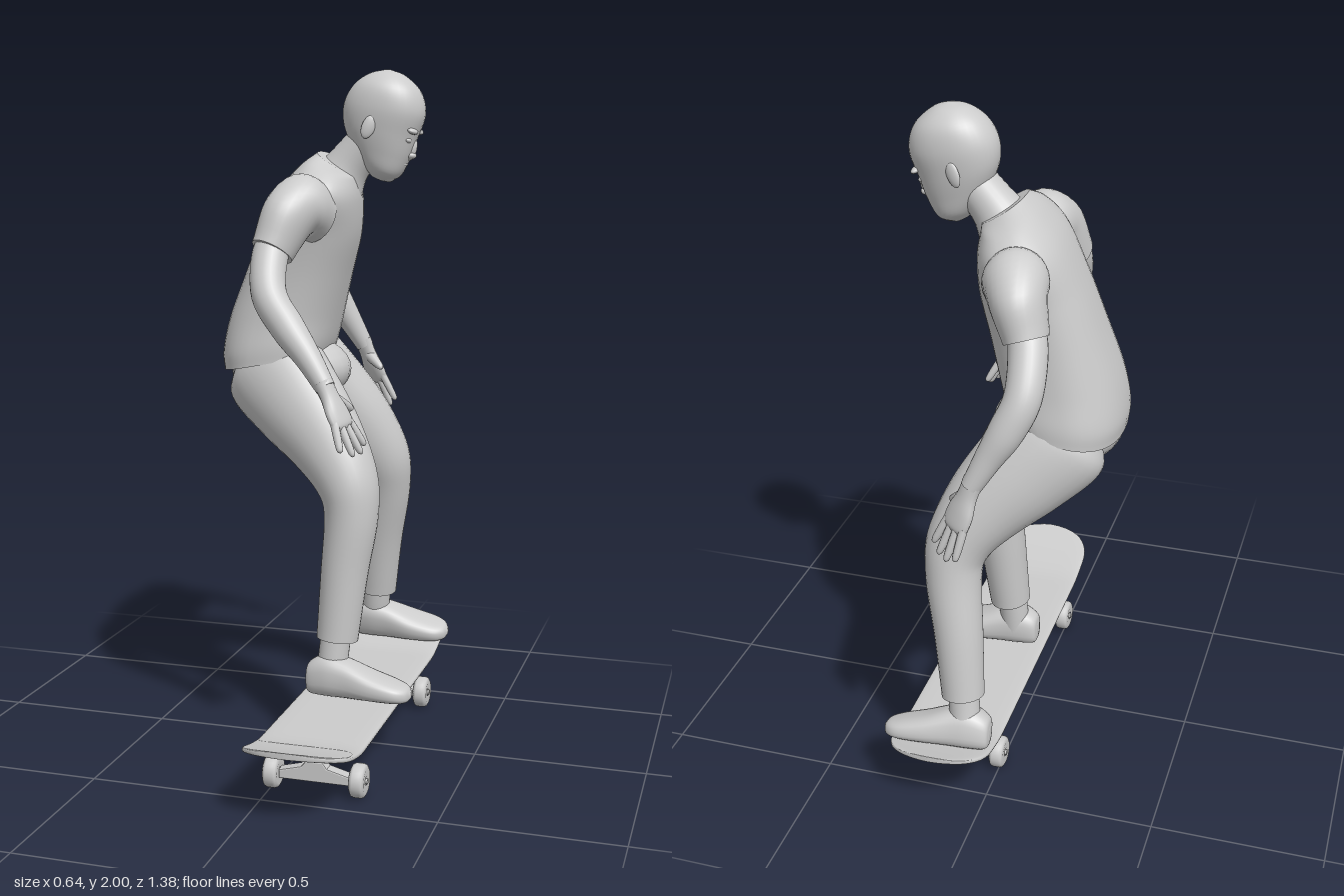
import * as THREE from 'three';

const grey = new THREE.MeshStandardMaterial({ color: 0xcccccc });
const V = (x, y, z) => new THREE.Vector3(x, y, z);

function mesh(name, geometry, x = 0, y = 0, z = 0) {
  const m = new THREE.Mesh(geometry, grey);
  m.name = name;
  m.position.set(x, y, z);
  return m;
}

// Smooth skin over sections [centre, half axis u, half axis v]; p shapes the superellipse
function loft(name, secs, { n = 28, m = 6, p = 2 } = {}) {
  const curves = [0, 1, 2].map(k => new THREE.CatmullRomCurve3(secs.map(s => s[k]), false, 'catmullrom', 0.5));
  const rows = (secs.length - 1) * m;
  const pos = [], idx = [];
  const pw = a => Math.sign(a) * Math.pow(Math.abs(a), 2 / p);
  for (let i = 0; i <= rows; i++) {
    const [c, u, v] = curves.map(k => k.getPoint(i / rows));
    for (let j = 0; j < n; j++) {
      const a = (j / n) * Math.PI * 2;
      const q = c.clone().addScaledVector(u, pw(Math.cos(a))).addScaledVector(v, pw(Math.sin(a)));
      pos.push(q.x, q.y, q.z);
    }
  }
  for (let i = 0; i < rows; i++) for (let j = 0; j < n; j++) {
    const a = i * n + j, b = i * n + (j + 1) % n;
    idx.push(a, b, b + n, a, b + n, a + n);
  }
  // end caps with their own vertices so the rims stay sharp
  [[0, secs[0][0]], [rows, secs[secs.length - 1][0]]].forEach(([row, c]) => {
    const base = pos.length / 3;
    pos.push(...pos.slice(row * n * 3, (row + 1) * n * 3), c.x, c.y, c.z);
    for (let j = 0; j < n; j++) {
      const a = base + j, b = base + (j + 1) % n;
      if (row) idx.push(a, b, base + n); else idx.push(b, a, base + n);
    }
  });
  const g = new THREE.BufferGeometry();
  g.setAttribute('position', new THREE.Float32BufferAttribute(pos, 3));
  g.setIndex(idx);
  g.computeVertexNormals();
  return mesh(name, g);
}

// Limb along [x, y, z, radius along side, radius across]
function limb(name, pts, side = V(0, 0, 1), opt) {
  const c = pts.map(p => V(p[0], p[1], p[2]));
  const secs = pts.map((p, i) => {
    const t = c[Math.min(i + 1, c.length - 1)].clone().sub(c[Math.max(i - 1, 0)]).normalize();
    const u = side.clone().addScaledVector(t, -side.dot(t)).normalize();
    const v = t.clone().cross(u);
    return [c[i], u.multiplyScalar(p[3]), v.multiplyScalar(p[4] ?? p[3])];
  });
  return loft(name, secs, opt);
}

// Body sections [back x, back y, front x, front y, half width, twist]
function trunk(name, rows, z, opt) {
  return loft(name, rows.map(([bx, by, fx, fy, w, tw = 0]) => [
    V((bx + fx) / 2, (by + fy) / 2, z), V(tw, 0, w), V((fx - bx) / 2, (fy - by) / 2, 0)]), opt);
}

function ball(name, x, y, z, sx, sy, sz, rz = 0) {
  const m = mesh(name, new THREE.SphereGeometry(1, 24, 16), x, y, z);
  m.scale.set(sx, sy, sz);
  m.rotation.z = rz;
  return m;
}

function makeHead() {
  const g = new THREE.Group();
  g.name = 'head';
  const z = -0.175;
  g.add(trunk('skull', [
    [0.125, 1.695, 0.165, 1.677, 0.025], [0.10, 1.73, 0.21, 1.69, 0.056], [0.065, 1.785, 0.24, 1.74, 0.073],
    [0.042, 1.85, 0.262, 1.80, 0.087], [0.045, 1.91, 0.286, 1.87, 0.094], [0.075, 1.96, 0.272, 1.935, 0.083],
    [0.12, 1.99, 0.225, 1.982, 0.048], [0.165, 2.0, 0.18, 2.0, 0.006]], z, { n: 36, p: 2.15 }));
  g.add(limb('neck', [[0.02, 1.67, z, 0.085], [0.06, 1.73, z, 0.066], [0.13, 1.81, z, 0.06]]));
  g.add(ball('nose', 0.247, 1.77, z, 0.015, 0.034, 0.013, -0.25), ball('noseTip', 0.245, 1.752, z, 0.016, 0.011, 0.018));
  g.add(ball('upperLip', 0.223, 1.727, z, 0.012, 0.007, 0.027), ball('lowerLip', 0.213, 1.715, z, 0.012, 0.007, 0.023));
  g.add(ball('chin', 0.178, 1.69, z, 0.02, 0.015, 0.024));
  for (const s of [-1, 1]) {
    g.add(ball('brow', 0.258, 1.822, z + s * 0.036, 0.015, 0.009, 0.03, -0.4));
    g.add(ball('eye', 0.243, 1.797, z + s * 0.034, 0.012, 0.009, 0.016, -0.4));
    const ear = ball('ear', 0.14, 1.835, z + s * 0.09, 0.02, 0.036, 0.009, -0.4);
    ear.rotation.y = s * 0.3;
    g.add(ear);
  }
  return g;
}

// Palm, four jointed fingers and a thumb
function makeHand(wrist, tips, thumb) {
  const g = new THREE.Group();
  g.name = 'hand';
  const w = V(...wrist), t = tips.map(p => V(...p));
  const spread = t[3].clone().sub(t[0]).normalize();
  const mid = t[1].clone().add(t[2]).multiplyScalar(0.5);
  const at = (k, a, b) => w.clone().lerp(mid, k).toArray().concat(a, b);
  g.add(limb('palm', [at(-0.1, 0.03, 0.026), at(0.12, 0.031, 0.022), at(0.35, 0.044, 0.02), at(0.53, 0.044, 0.016),
    at(0.6, 0.03, 0.008)], spread, { n: 16 }));
  t.forEach((tip, i) => {
    const root = w.clone().lerp(mid, 0.5).addScaledVector(spread, (i - 1.5) * 0.021);
    const f = (k, r) => root.clone().lerp(tip, k).toArray().concat(r);
    g.add(limb('finger', [f(0, 0.012), f(0.5, 0.0115), f(0.9, 0.009), f(1, 0.002)], spread, { n: 10, m: 4 }));
  });
  const th = V(...thumb), r = w.clone().lerp(mid, 0.12);
  const f = (k, rad) => r.clone().lerp(th, k).toArray().concat(rad);
  g.add(limb('thumb', [f(0, 0.02), f(0.5, 0.016), f(0.9, 0.01), f(1, 0.002)], spread, { n: 10, m: 4 }));
  return g;
}

function makeShoe(x, y, z, roll, yaw) {
  const rows = [[0, 0.03, 0.07, 0.015], [0.01, 0.005, 0.1, 0.038], [0.06, 0, 0.125, 0.052], [0.12, 0, 0.115, 0.056],
    [0.2, 0, 0.083, 0.063], [0.27, 0, 0.06, 0.058], [0.305, 0.003, 0.047, 0.038], [0.318, 0.014, 0.032, 0.012]];
  const m = loft('shoe', rows.map(([a, lo, hi, w]) => [V(a, (lo + hi) / 2, 0), V(0, 0, -w), V(0, (hi - lo) / 2, 0)]), { p: 2.6 });
  m.position.set(x, y, z);
  m.rotation.set(roll, yaw, 0);
  return m;
}

function makeBoard() {
  const g = new THREE.Group();
  g.name = 'skateboard';
  // deck with rounded, upturned ends
  const secs = [], N = 48;
  for (let i = 0; i <= N; i++) {
    const k = -Math.cos((i / N) * Math.PI), d = Math.abs(k) * 0.664;
    const e = Math.max(0, (d - 0.53) / 0.134), kick = Math.max(0, (d - 0.42) / 0.244);
    const w = 0.149 * Math.pow(Math.max(0, 1 - Math.pow(e, 2.4)), 1 / 2.4) + 0.001;
    secs.push([V(0.13, 0.155 + 0.06 * Math.pow(kick, 1.4), 0.025 + k * 0.664), V(w, 0, 0), V(0, 0.009, 0)]);
  }
  g.add(loft('deck', secs, { m: 1, p: 5, n: 32 }));
  const tread = [[0.012, -0.02], [0.036, -0.022], [0.045, -0.017], [0.048, -0.01], [0.048, 0.01], [0.045, 0.017],
    [0.036, 0.022], [0.012, 0.02]].map(p => new THREE.Vector2(...p));
  const hangerShape = new THREE.Shape([[-0.1, 0.04], [0.1, 0.04], [0.1, 0.058], [0.035, 0.075], [0.022, 0.092],
    [-0.022, 0.092], [-0.035, 0.075], [-0.1, 0.058]].map(p => new THREE.Vector2(...p)));
  for (const [z, s] of [[0.4, 1], [-0.355, -1]]) {
    const t = new THREE.Group();
    t.name = 'truck';
    t.position.set(0.13, 0, z);
    t.add(mesh('basePlate', new THREE.BoxGeometry(0.1, 0.014, 0.13), 0, 0.141, -s * 0.015));
    t.add(mesh('hanger', new THREE.ExtrudeGeometry(hangerShape, { depth: 0.03, bevelSize: 0.004, bevelThickness: 0.004, bevelSegments: 2 }), 0, 0, -0.015));
    for (const [r, y] of [[0.024, 0.098], [0.027, 0.112], [0.021, 0.127]])
      t.add(mesh('bushing', new THREE.CylinderGeometry(r, r, 0.012, 20), 0, y, -s * 0.012));
    const pivot = mesh('pivot', new THREE.CylinderGeometry(0.018, 0.012, 0.07, 14), 0, 0.105, -s * 0.04);
    pivot.rotation.x = -s * 0.7;
    const axle = mesh('axle', new THREE.CylinderGeometry(0.008, 0.008, 0.3, 12), 0, 0.05, 0);
    axle.rotation.z = Math.PI / 2;
    t.add(pivot, axle);
    for (const x of [-0.125, 0.125]) {
      const wheel = mesh('wheel', new THREE.LatheGeometry(tread, 32), x, 0.05, 0);
      wheel.rotation.z = Math.PI / 2;
      const hub = mesh('bearing', new THREE.CylinderGeometry(0.016, 0.016, 0.036, 16), x, 0.05, 0);
      hub.rotation.z = Math.PI / 2;
      t.add(wheel, hub);
    }
    g.add(t);
  }
  return g;
}

export function createModel() {
  const model = new THREE.Group();
  model.name = 'skateboarder';
  const X = V(1, 0, 0);
  model.add(makeBoard(), makeHead());
  // shirt
  model.add(trunk('shirt', [
    [-0.315, 1.11, 0, 1.175, 0.208], [-0.32, 1.17, 0.012, 1.21, 0.208], [-0.30, 1.27, 0.03, 1.28, 0.2],
    [-0.255, 1.4, 0.06, 1.4, 0.2, 0.01], [-0.205, 1.53, 0.09, 1.52, 0.212, 0.02], [-0.145, 1.655, 0.095, 1.62, 0.235, 0.03],
    [-0.085, 1.725, 0.085, 1.68, 0.18, 0.02], [-0.03, 1.765, 0.08, 1.695, 0.1]], -0.173, { n: 40, p: 2.4 }));
  model.add(limb('sleeve', [[0, 1.59, 0, 0.08, 0.09], [-0.02, 1.61, 0.06, 0.088, 0.092], [-0.045, 1.575, 0.11, 0.075, 0.088],
    [-0.075, 1.485, 0.155, 0.06, 0.073]], X));
  model.add(limb('sleeve', [[-0.05, 1.59, -0.34, 0.08, 0.09], [-0.07, 1.61, -0.4, 0.088, 0.092], [-0.09, 1.575, -0.445, 0.075, 0.088],
    [-0.12, 1.49, -0.475, 0.06, 0.073]], X));
  // arms
  model.add(limb('arm', [[-0.06, 1.54, 0.13, 0.05], [-0.075, 1.47, 0.175, 0.052], [-0.055, 1.37, 0.24, 0.05], [0.01, 1.285, 0.275, 0.048],
    [0.08, 1.205, 0.305, 0.037], [0.135, 1.13, 0.328, 0.028]], X));
  model.add(makeHand([0.135, 1.13, 0.328],
    [[0.235, 0.97, 0.285], [0.235, 0.952, 0.318], [0.222, 0.95, 0.355], [0.195, 0.965, 0.388]], [0.185, 1.06, 0.235]));
  model.add(limb('arm', [[-0.105, 1.54, -0.45, 0.05], [-0.13, 1.47, -0.495, 0.052], [-0.135, 1.37, -0.56, 0.05], [-0.1, 1.285, -0.59, 0.048],
    [-0.055, 1.205, -0.61, 0.037], [-0.015, 1.13, -0.628, 0.028]], X));
  model.add(makeHand([-0.015, 1.13, -0.628],
    [[0.09, 0.95, -0.635], [0.07, 0.928, -0.655], [0.045, 0.92, -0.672], [0.015, 0.932, -0.685]], [0.055, 1.06, -0.585]));
  // trousers
  model.add(ball('trouserSeat', -0.125, 1.11, -0.175, 0.185, 0.11, 0.17));
  model.add(limb('trouserLeg', [[-0.19, 1.17, -0.09, 0.08, 0.1], [-0.155, 1.12, -0.083, 0.115, 0.155], [-0.06, 1.02, -0.05, 0.115, 0.145],
    [0.04, 0.91, -0.015, 0.105, 0.118], [0.108, 0.8, 0.01, 0.095, 0.093], [0.122, 0.7, 0.02, 0.085, 0.08],
    [0.105, 0.53, 0.032, 0.075, 0.07], [0.088, 0.335, 0.045, 0.065, 0.062]]));
  model.add(limb('trouserLeg', [[-0.19, 1.17, -0.26, 0.08, 0.1], [-0.155, 1.12, -0.268, 0.115, 0.155], [-0.06, 1.02, -0.315, 0.11, 0.145],
    [0.04, 0.91, -0.36, 0.1, 0.118], [0.105, 0.8, -0.395, 0.09, 0.093], [0.112, 0.7, -0.42, 0.08, 0.08],
    [0.09, 0.53, -0.452, 0.072, 0.07], [0.072, 0.345, -0.48, 0.063, 0.062]]));
  // ankles and shoes
  model.add(limb('ankle', [[0.088, 0.37, 0.048, 0.045], [0.08, 0.29, 0.055, 0.045], [0.075, 0.22, 0.06, 0.045]]));
  model.add(limb('ankle', [[0.072, 0.37, -0.478, 0.045], [0.065, 0.29, -0.49, 0.045], [0.06, 0.23, -0.505, 0.045]]));
  model.add(makeShoe(0.002, 0.166, 0.068, 0, 0), makeShoe(-0.015, 0.183, -0.51, 0.25, 0.04));
  return model;
}
